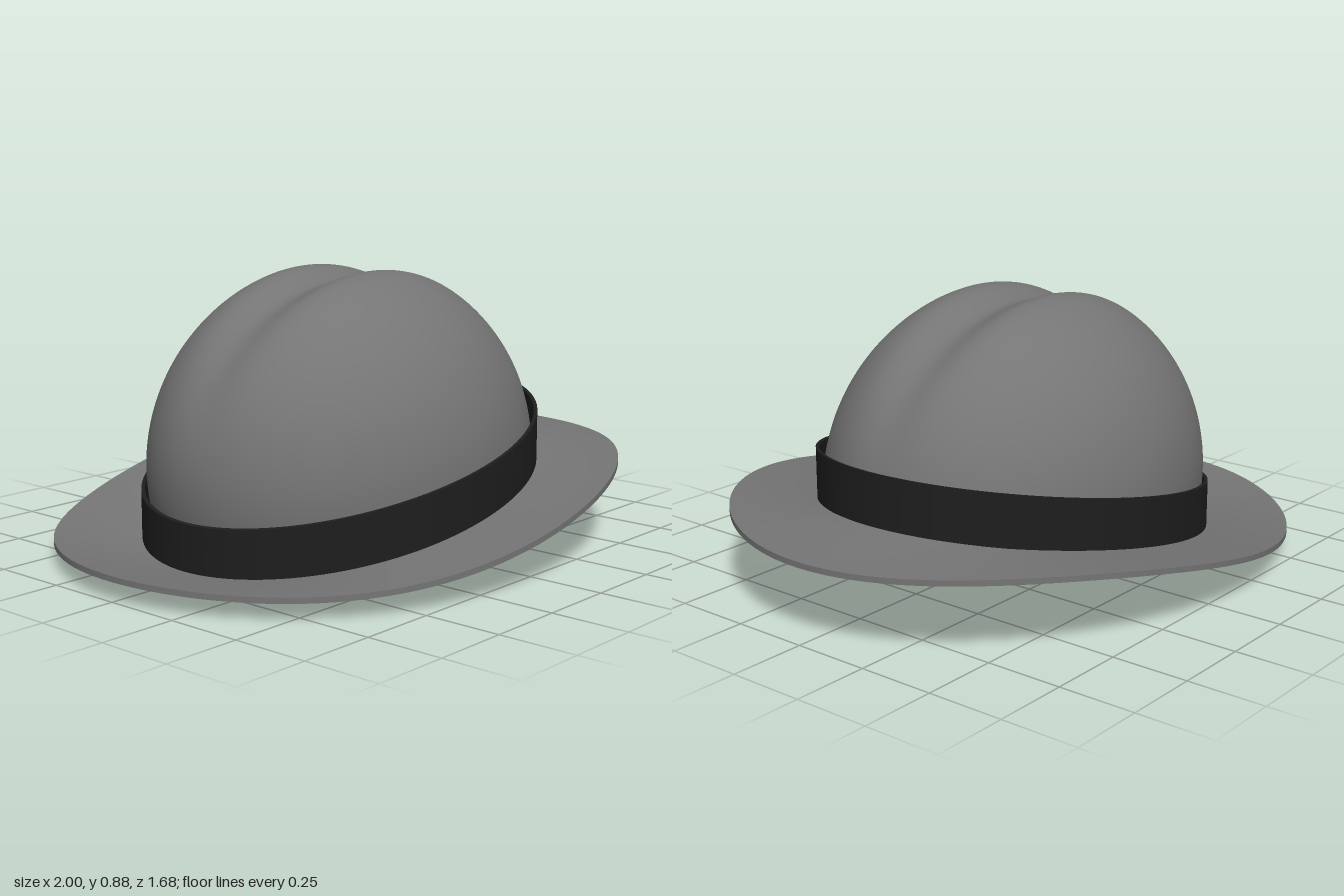
import * as THREE from 'three';
import { mergeGeometries } from 'three/addons/utils/BufferGeometryUtils.js';

const N = 128; // segments around the hat
const felt = new THREE.MeshStandardMaterial({ color: 0x757575, side: THREE.DoubleSide });
const ribbon = new THREE.MeshStandardMaterial({ color: 0x1e1e1e, side: THREE.DoubleSide });

// Closed ring surface: point(angle, t) returns [x, y, z], t runs 0..1 over the rows
function ringSurface(rows, point) {
  const pos = [], index = [];
  for (let r = 0; r <= rows; r++) {
    for (let i = 0; i < N; i++) pos.push(...point((i / N) * Math.PI * 2, r / rows));
  }
  for (let r = 0; r < rows; r++) {
    for (let i = 0; i < N; i++) {
      const j = (i + 1) % N;
      const a = r * N + i, b = r * N + j, c = a + N, d = b + N;
      index.push(a, c, b, b, c, d);
    }
  }
  const g = new THREE.BufferGeometry();
  g.setAttribute('position', new THREE.Float32BufferAttribute(pos, 3));
  g.setIndex(index);
  g.computeVertexNormals();
  return g;
}

// Sharp-edged ring: corners are functions of the angle, swept outer-up, top-in, inner-down, bottom-out
function sharpRing(corners, rows) {
  return mergeGeometries(corners.map((from, k) => {
    const to = corners[(k + 1) % corners.length];
    return ringSurface(rows, (a, t) => {
      const p = from(a), q = to(a);
      return p.map((v, i) => v + (q[i] - v) * t);
    });
  }));
}

// Point on an ellipse whose height depends on x
const ellipse = (rx, rz, height) => (a) => {
  const x = rx * Math.cos(a);
  return [x, height(x), rz * Math.sin(a)];
};

// Tilted plane on which band and crown sit, and the waving outer edge of the brim
const tilt = (offset) => (x) => offset + 0.197 * x;
const wave = (offset) => (x) => offset + 0.097 * Math.sin(1.95 * x);

// Dome cut off by the tilted plane, with a lengthwise crease along the top
function crownPoint(a, t) {
  const rx = 0.695, rz = 0.565, ry = 0.64, base = 0.27;
  const lean = 0.197 * rx * Math.cos(a);
  const start = Math.asin((0.142 - base) / Math.hypot(ry, lean)) + Math.atan2(lean, ry);
  const phi = start + (Math.PI / 2 - 0.001 - start) * t;
  const x = rx * Math.cos(phi) * Math.cos(a);
  const z = rz * Math.cos(phi) * Math.sin(a);
  const s = Math.sin(phi);
  const dent = 0.067 * Math.max(0, s) * Math.exp(-((z / 0.1) ** 2));
  return [x, base + ry * s - dent, z];
}

export function createModel() {
  const hat = new THREE.Group();
  hat.name = 'hat';
  const add = (name, geometry, material) => {
    const mesh = new THREE.Mesh(geometry, material);
    mesh.name = name;
    hat.add(mesh);
  };

  add('crown', ringSurface(64, crownPoint), felt);

  add('brim', sharpRing([
    ellipse(1, 0.84, wave(0.152)),
    ellipse(1, 0.84, wave(0.17)),
    ellipse(0.67, 0.55, tilt(0.152)),
    ellipse(0.67, 0.55, tilt(0.134)),
  ], 6), felt);

  add('hatBand', sharpRing([
    ellipse(0.712, 0.583, tilt(0.148)),
    ellipse(0.712, 0.583, tilt(0.315)),
    ellipse(0.7, 0.571, tilt(0.315)),
    ellipse(0.7, 0.571, tilt(0.148)),
  ], 1), ribbon);

  return hat;
}
